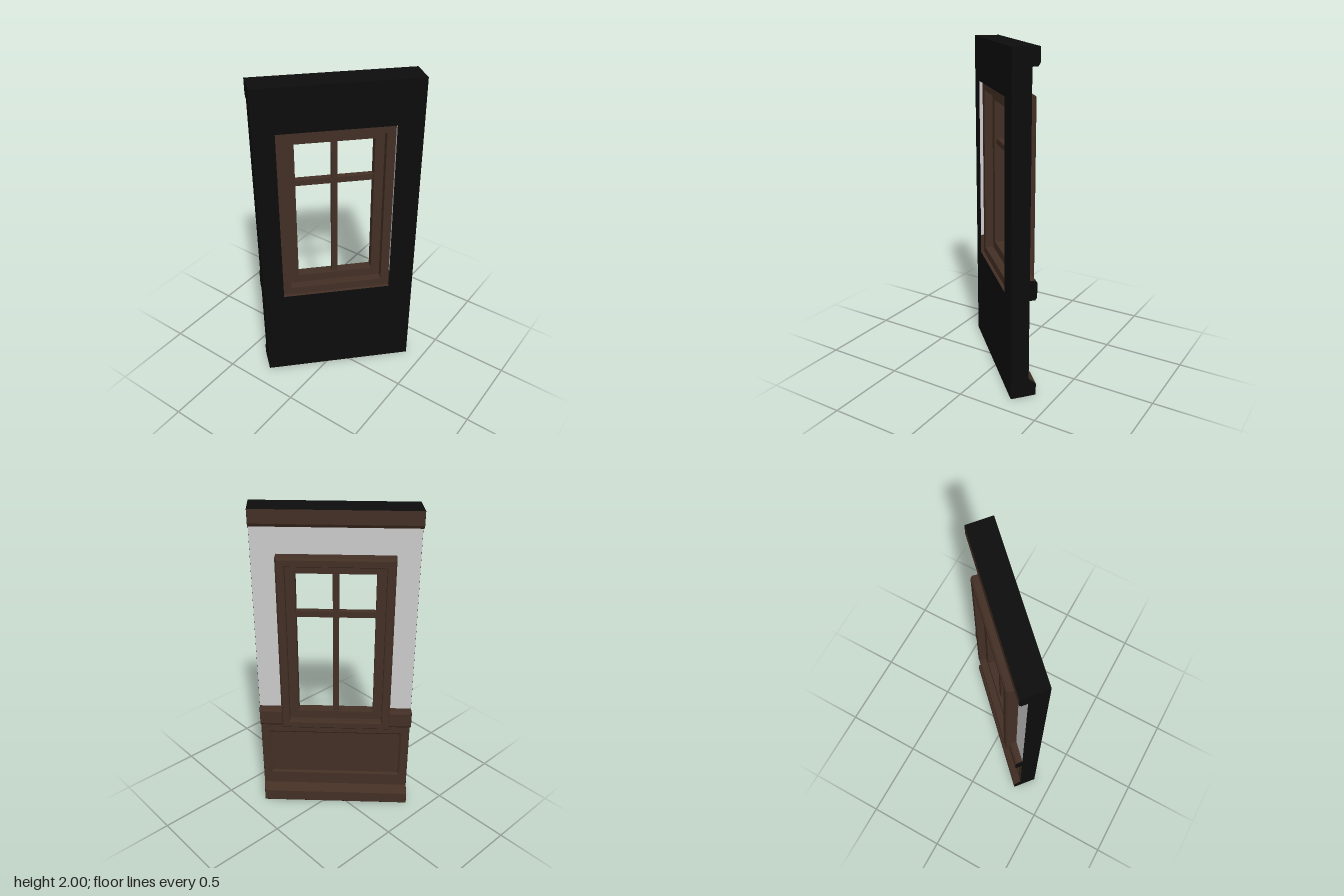
import * as THREE from 'three';

const HALF = 0.468;              // half length of the wall
const BACK = -0.077, FACE = 0.032, OUT = 0.077;
const MITRE = 0.0868;            // slant of the wall ends
const WX = 0.0075, WW = 0.664, WY0 = 0.61, WY1 = 1.735; // window opening

const mat = (color) => new THREE.MeshStandardMaterial({ color, flatShading: true, side: THREE.DoubleSide });

export function createModel() {
  const wood = mat(0x432f24), plaster = mat(0xcccccc), dark = mat(0x0c0c0c);
  const wall = new THREE.Group();
  wall.name = 'windowWall';

  function add(name, geo, material) {
    const mesh = new THREE.Mesh(geo, material);
    mesh.name = name;
    wall.add(mesh);
    return mesh;
  }

  // Slants whatever reaches the wall ends
  function mitre(geo) {
    const p = geo.attributes.position;
    for (let i = 0; i < p.count; i++) {
      const x = p.getX(i);
      if (Math.abs(x) > 0.46) p.setX(i, x + MITRE * p.getZ(i));
    }
    geo.computeVertexNormals();
    return geo;
  }

  // Moulding: a (depth, height) profile run along the wall from x0 to x1
  function band(name, profile, material, x0 = -HALF, x1 = HALF) {
    const shape = new THREE.Shape(profile.map(([z, y]) => new THREE.Vector2(z, y)));
    const geo = new THREE.ExtrudeGeometry(shape, { depth: x1 - x0, bevelEnabled: false });
    geo.rotateY(-Math.PI / 2).translate(x1, 0, 0);
    return add(name, mitre(geo), material);
  }

  const rect = (x0, x1, y0, y1, Kind = THREE.Shape) =>
    new Kind([[x0, y0], [x1, y0], [x1, y1], [x0, y1]].map(([x, y]) => new THREE.Vector2(x, y)));

  // Flat sheet with a rectangular hole
  function sheet(name, outer, hole, z, depth, material) {
    const shape = rect(...outer);
    shape.holes.push(rect(...hole, THREE.Path));
    const geo = new THREE.ExtrudeGeometry(shape, { depth, bevelEnabled: false });
    return add(name, mitre(geo.translate(0, 0, z)), material);
  }

  // Mitred rectangular frame from an (inset, depth) profile, listed outer to inner
  function frame(name, x0, x1, y0, y1, profile, material, closed = true) {
    const corner = ([d, z], c) => [
      [x0 + d, y0 + d, z], [x1 - d, y0 + d, z], [x1 - d, y1 - d, z], [x0 + d, y1 - d, z]][c % 4];
    const pos = [];
    const n = profile.length;
    for (let k = 0; k < (closed ? n : n - 1); k++) {
      for (let c = 0; c < 4; c++) {
        const p = profile[k], q = profile[(k + 1) % n];
        const [a, b, d, e] = [corner(p, c), corner(p, c + 1), corner(q, c + 1), corner(q, c)];
        pos.push(...a, ...b, ...d, ...a, ...d, ...e);
      }
    }
    const geo = new THREE.BufferGeometry();
    geo.setAttribute('position', new THREE.Float32BufferAttribute(pos, 3));
    geo.computeVertexNormals();
    return add(name, geo, material);
  }

  const slab = (y0, y1, z = FACE) => [[BACK, y0], [z, y0], [z, y1], [BACK, y1]];
  const wx0 = WX - WW / 2, wx1 = WX + WW / 2;

  // Profiles of the mouldings on the room side
  const baseEdge = [[OUT, 0.0005], [OUT, 0.075], [FACE, 0.115]];
  const railEdge = [[FACE, 0.61], [0.066, 0.61], [OUT, 0.625], [OUT, 0.715], [0.066, 0.73], [FACE, 0.73]];
  const corniceEdge = [[FACE, 1.9], [0.064, 1.9], [OUT, 1.92], [OUT, 1.9995]];

  // Skirting and cornice
  band('skirting', [[BACK, 0.0005], ...baseEdge, [BACK, 0.115]], wood);
  band('cornice', [[BACK, 1.9], ...corniceEdge, [BACK, 1.9995]], wood);

  // Wainscot with a sunken panel
  const panel = [-0.417, 0.423, 0.2, 0.535];
  band('wainscotPanel', slab(0.115, WY0, 0.02), wood);
  sheet('wainscotFrame', [-HALF, HALF, 0.115, WY0], panel, 0.02, FACE - 0.02, wood);
  frame('panelBevel', ...panel, [[0, FACE], [0.013, 0.0205]], wood, false);

  // Rail and plaster on both sides of the window, plaster above it
  for (const [side, x0, x1] of [['left', -HALF, wx0], ['right', wx1, HALF]]) {
    band(side + 'DadoRail', [[BACK, 0.61], ...railEdge, [BACK, 0.73]], wood, x0, x1);
    band(side + 'Plaster', slab(0.73, WY1), plaster, x0, x1);
  }
  band('upperPlaster', slab(WY1, 1.9), plaster);

  // Dark outer skin: back, both ends, top and bottom
  sheet('backSkin', [-HALF, HALF, 0, 2], [wx0, wx1, WY0, WY1], BACK - 0.0005, 0.0005, dark);
  const section = [[BACK, 0], ...baseEdge, ...railEdge, ...corniceEdge, [BACK, 2]];
  band('endSkin', section, dark, HALF, HALF + 0.0006);
  band('endSkin', section, dark, -HALF - 0.0006, -HALF);
  band('topSkin', slab(1.9995, 2, OUT), dark);
  band('bottomSkin', slab(0, 0.0005, OUT), dark);

  // Window casing through the wall, sash inside it
  frame('windowCasing', wx0, wx1, WY0, WY1,
    [[0, -0.057], [0, 0.09], [0.01, 0.1], [0.046, 0.1], [0.05, 0.096], [0.05, -0.057]], wood);
  frame('windowSash', wx0 + 0.05, wx1 - 0.05, WY0 + 0.05, WY1 - 0.05,
    [[0, -0.006], [0, 0.055], [0.054, 0.055], [0.054, -0.006]], wood);

  // Glazing bars
  add('verticalBar', new THREE.BoxGeometry(0.036, 0.93, 0.032), wood).position.set(WX, 1.1725, 0.025);
  add('crossBar', new THREE.BoxGeometry(0.47, 0.036, 0.036), wood).position.set(WX, 1.375, 0.025);

  // The wall stands diagonally
  wall.rotation.y = Math.PI * 0.75;
  const model = new THREE.Group();
  model.add(wall);
  return model;
}
